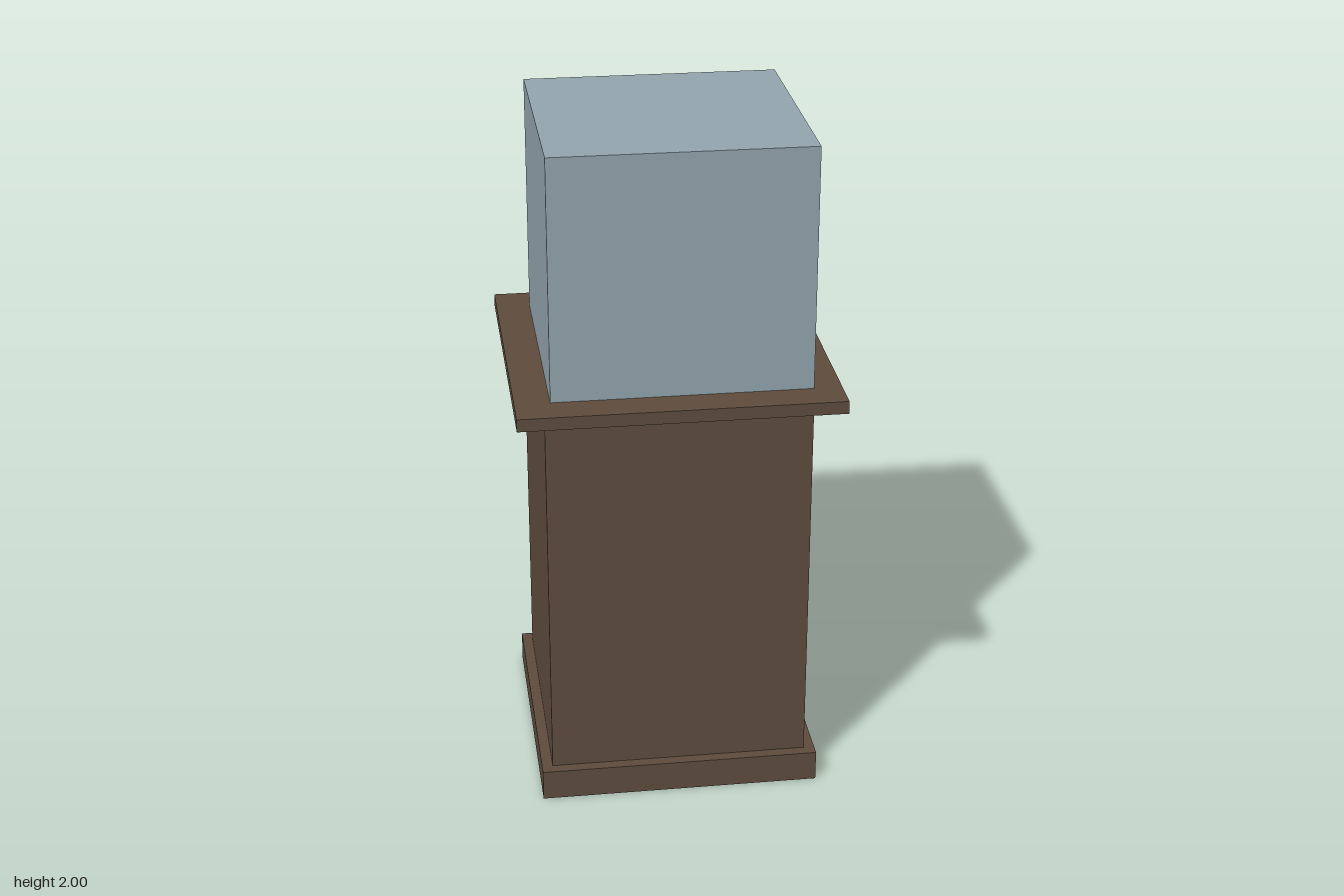
import * as THREE from 'three';

// Display case: wooden plinth with a glass cover
export function createModel() {
  const model = new THREE.Group();
  const wood = new THREE.MeshStandardMaterial({ color: 0x5f4d3e });
  const glass = new THREE.MeshStandardMaterial({ color: 0x94a6b0 });

  // Box standing between heights y0 and y1, centred at x
  function block(name, material, width, depth, y0, y1, x = 0) {
    const mesh = new THREE.Mesh(new THREE.BoxGeometry(width, y1 - y0, depth), material);
    mesh.name = name;
    mesh.position.set(x, (y0 + y1) / 2, 0);
    model.add(mesh);
  }

  block('base', wood, 0.83, 0.826, 0, 0.093);
  block('pedestalBody', wood, 0.766, 0.76, 0.093, 1.246);
  block('topSlab', wood, 0.932, 0.928, 1.246, 1.284);
  // The cover sits slightly off centre
  block('glassCover', glass, 0.749, 0.728, 1.284, 2, 0.01);

  return model;
}
